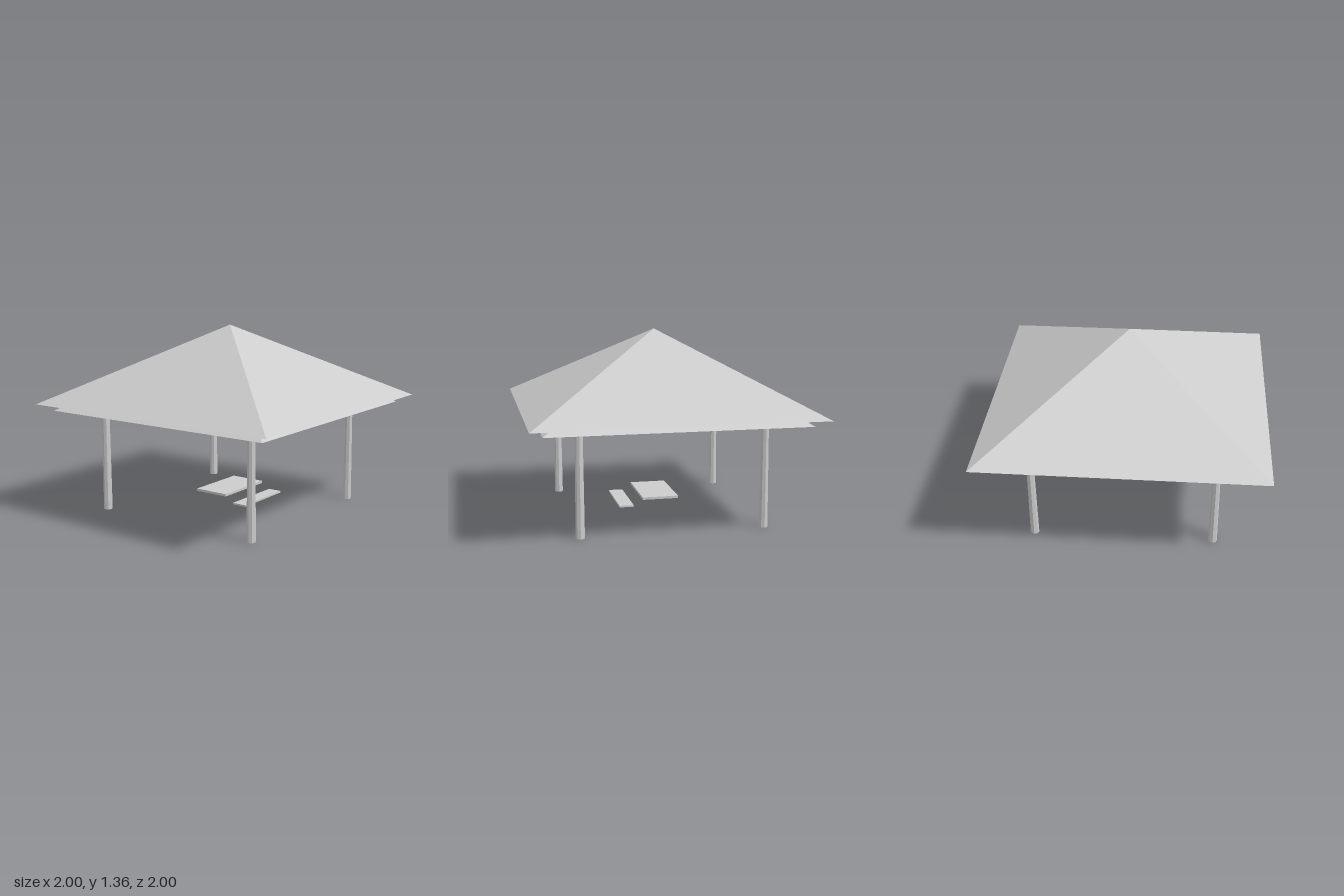
import * as THREE from 'three';

export function createModel() {
  const model = new THREE.Group();
  const grey = new THREE.MeshStandardMaterial({ color: 0xcccccc, flatShading: true, side: THREE.DoubleSide });
  grey.name = 'light grey';

  function add(name, geometry, x, y, z) {
    const mesh = new THREE.Mesh(geometry, grey);
    mesh.name = name;
    mesh.position.set(x, y, z);
    model.add(mesh);
  }

  // Open four-sided pyramid, given half its side length
  function pyramid(half, height) {
    return new THREE.ConeGeometry(half * Math.SQRT2, height, 4, 1, true).rotateY(Math.PI / 4);
  }

  // Roof shell and the smaller lining beneath it
  const roofHeight = 0.555;
  add('roof', pyramid(1, roofHeight), 0, 0.8 + roofHeight / 2, 0);
  add('roofLining', pyramid(0.91, roofHeight), 0, 0.75 + roofHeight / 2, 0);

  // Four tapered corner posts
  const postHeight = 0.8;
  for (const x of [-0.648, 0.648]) {
    for (const z of [-0.648, 0.648]) {
      add('post', new THREE.CylinderGeometry(0.026, 0.032, postHeight, 8), x, postHeight / 2, z);
    }
  }

  // Table top with a lower bench board in front
  add('tableTop', new THREE.BoxGeometry(0.47, 0.018, 0.265), 0, 0.136, 0);
  add('bench', new THREE.BoxGeometry(0.47, 0.012, 0.105), 0, 0.086, 0.252);

  return model;
}
